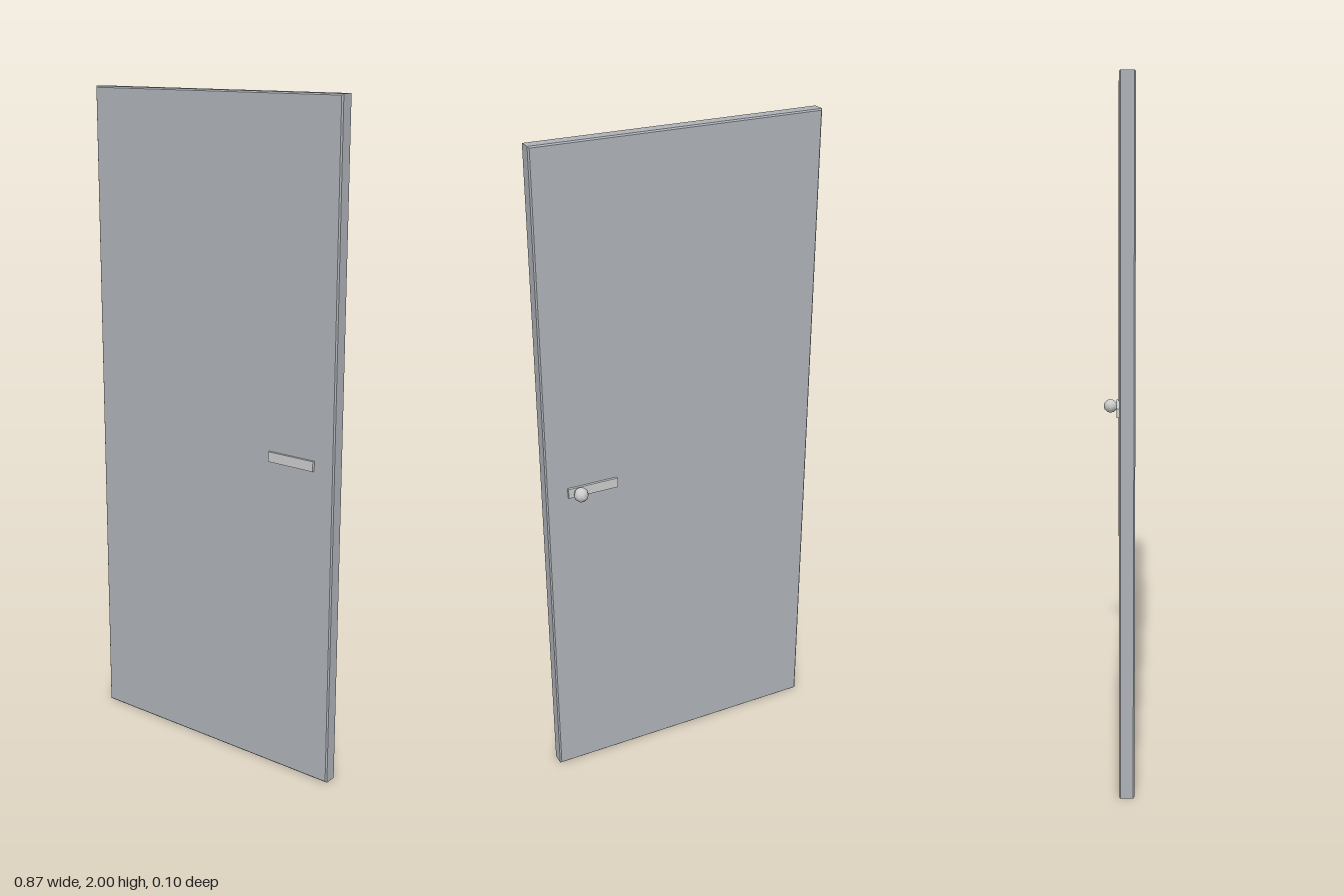
import * as THREE from 'three';

const WIDTH = 0.874, HEIGHT = 2, DEPTH = 0.044, BEVEL = 0.004;
const CENTER_Z = 0.0195;

// Box with chamfered edges, centred on the origin
function chamferedBox(w, h, d, c) {
  const x = w / 2 - c, y = h / 2 - c;
  const shape = new THREE.Shape([
    new THREE.Vector2(-x, -y), new THREE.Vector2(x, -y),
    new THREE.Vector2(x, y), new THREE.Vector2(-x, y),
  ]);
  const geometry = new THREE.ExtrudeGeometry(shape, {
    depth: d - 2 * c, bevelEnabled: true, bevelThickness: c, bevelSize: c, bevelSegments: 1,
  });
  return geometry.translate(0, 0, c - d / 2);
}

export function createModel() {
  const model = new THREE.Group();
  model.name = 'door';
  const panelMaterial = new THREE.MeshStandardMaterial({ color: 0xaeb2b7 });
  const metal = new THREE.MeshStandardMaterial({ color: 0xcccccc });

  function add(name, geometry, material, x, y, z) {
    const mesh = new THREE.Mesh(geometry, material);
    mesh.name = name;
    mesh.position.set(x, y, z);
    model.add(mesh);
  }

  // Door leaf
  add('doorPanel', chamferedBox(WIDTH, HEIGHT, DEPTH, BEVEL), panelMaterial, 0, HEIGHT / 2, CENTER_Z);

  // Handle bars on both faces, slightly sunk into the leaf
  const bar = new THREE.BoxGeometry(0.156, 0.03, 0.012);
  for (const [name, side] of [['frontHandle', 1], ['backHandle', -1]]) {
    add(name, bar, metal, 0.293, 0.98, CENTER_Z + side * 0.0237);
  }

  // Round knob on the back
  add('backKnob', new THREE.SphereGeometry(0.022, 8, 6), metal, 0.34, 0.98, -0.029);

  return model;
}
